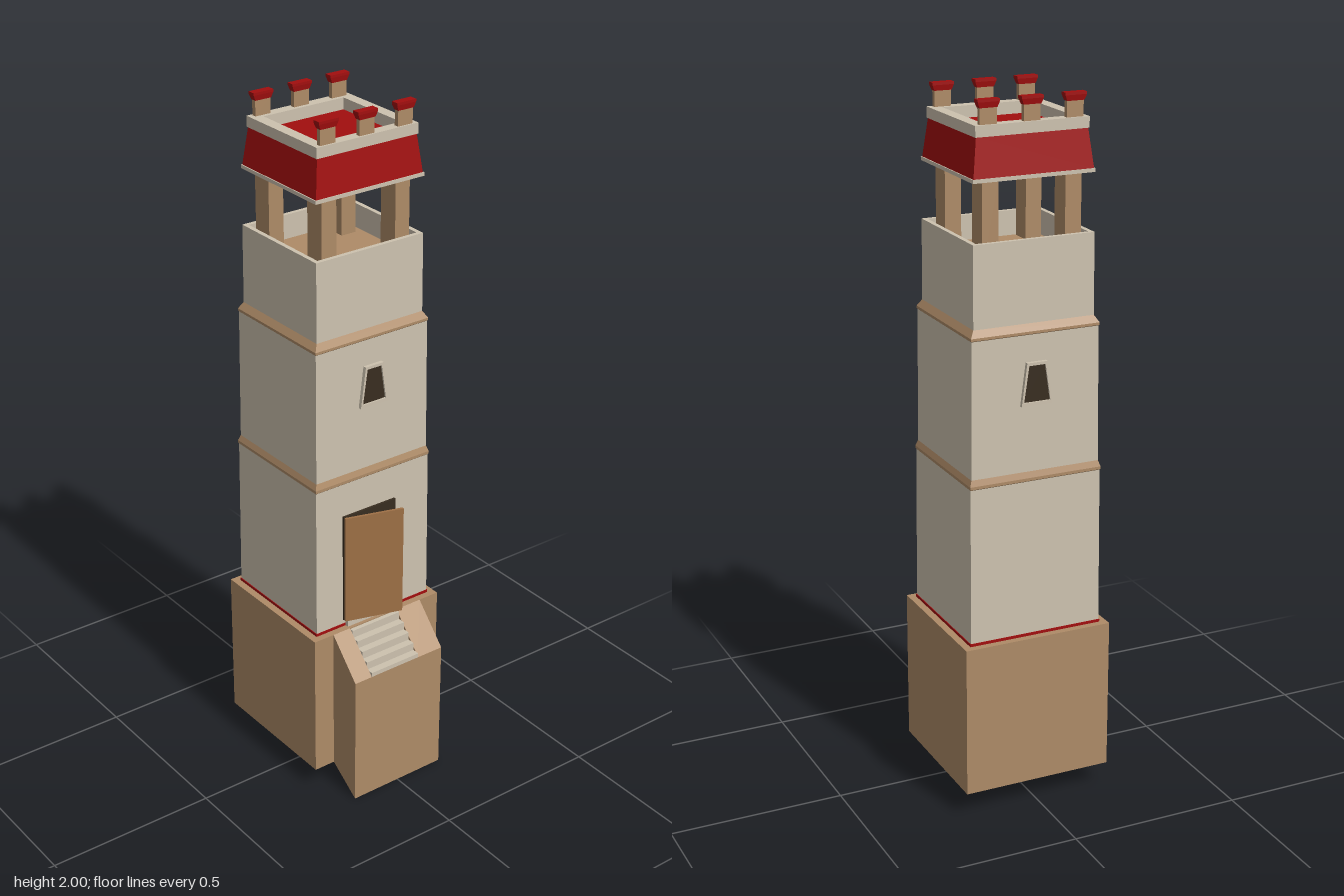
import * as THREE from 'three';

const CZ = -0.053; // tower axis in z
const DEPTH = 0.955; // depth of the tower relative to its width

const mat = (name, color) => {
  const m = new THREE.MeshStandardMaterial({ color, side: THREE.DoubleSide });
  m.name = name;
  return m;
};

export function createModel() {
  const model = new THREE.Group();
  model.name = 'watchtower';
  const plaster = mat('plaster', 0xcdc2af);
  const stone = mat('tan stone', 0xae8b67);
  const red = mat('red tiles', 0xa20e0e);
  const wood = mat('door wood', 0x9e7046);
  const dark = mat('dark opening', 0x382d20);

  const add = (name, geo, material, x = 0, y = 0, z = 0, parent = model) => {
    const mesh = new THREE.Mesh(geo, material);
    mesh.name = name;
    mesh.position.set(x, y, z);
    parent.add(mesh);
    return mesh;
  };
  const box = (name, w, h, d, material, x, y, z, parent) =>
    add(name, new THREE.BoxGeometry(w, h, d), material, x, y, z, parent);

  // Rectangular shell from a profile of [half width, height]
  const shell = (name, profile, material, depth = DEPTH, x = 0, z = CZ) => {
    const pts = profile.map(([r, y]) => new THREE.Vector2(r * Math.SQRT2, y));
    const geo = new THREE.LatheGeometry(pts, 4, Math.PI / 4).toNonIndexed();
    geo.scale(1, 1, depth);
    geo.computeVertexNormals();
    return add(name, geo, material, x, 0, z);
  };

  // Side profile of [z, y] points, extruded from x0 to x1
  const sideExtrude = (name, pts, x0, x1, material) => {
    const shape = new THREE.Shape(pts.map(([z, y]) => new THREE.Vector2(-z, y)));
    const geo = new THREE.ExtrudeGeometry(shape, { depth: x1 - x0, bevelEnabled: false });
    geo.rotateY(Math.PI / 2);
    return add(name, geo, material, x0);
  };

  // Base, open underneath
  shell('base', [[0.22, 0.07], [0.22, 0.51], [0, 0.51]], stone);
  shell('baseTrim', [[0.199, 0.51], [0.199, 0.518], [0.19, 0.518]], red);

  // Three storeys with sloped bands between them
  shell('lowerStorey', [[0.197, 0.51], [0.194, 0.965]], plaster);
  shell('lowerBand', [[0.194, 0.965], [0.196, 0.967], [0.196, 0.975], [0.189, 0.995]], stone);
  shell('middleStorey', [[0.19, 0.99], [0.187, 1.375]], plaster);
  shell('upperBand', [[0.187, 1.375], [0.189, 1.377], [0.189, 1.384], [0.176, 1.405]], stone);
  shell('upperStorey', [[0.177, 1.4], [0.176, 1.63], [0.163, 1.63], [0.163, 1.55]], plaster);
  shell('lookoutFloor', [[0.165, 1.56], [0, 1.56]], stone);

  // Lookout pillars
  for (const sx of [-1, 1]) for (const sz of [-1, 1]) {
    box('pillar', 0.047, 0.24, 0.062, stone, sx * 0.12 - 0.003, 1.675, -0.05 + sz * 0.118);
  }

  // Roof: underside and eave, flared red skirt, rim and sunken deck
  shell('eave', [[0, 1.79], [0.176, 1.79], [0.176, 1.8], [0.17, 1.8]], plaster);
  shell('roofSkirt', [[0.173, 1.8], [0.16, 1.907]], red);
  shell('roofRim', [[0.157, 1.905], [0.163, 1.905], [0.163, 1.935], [0.13, 1.935], [0.13, 1.9]], plaster);
  shell('roofDeck', [[0.132, 1.902], [0, 1.902]], red);

  // Roof posts with flared caps
  for (const z of [-0.1955, 0.0905]) for (const x of [-0.124, 0, 0.124]) {
    box('roofPost', 0.048, 0.045, 0.014, stone, x, 1.957, z);
    shell('postCap', [[0, 1.978], [0.025, 1.978], [0.031, 1.993], [0.031, 2], [0, 2]], red, 0.37, x, z);
  }

  // Tapered windows on front and back
  const trapezoid = (b, t, y0, y1) => new THREE.Shape([
    new THREE.Vector2(-b, y0), new THREE.Vector2(b, y0),
    new THREE.Vector2(t, y1), new THREE.Vector2(-t, y1),
  ]);
  for (const s of [-1, 1]) {
    const win = new THREE.Group();
    win.name = s > 0 ? 'frontWindow' : 'backWindow';
    win.position.z = CZ + s * 0.177;
    if (s < 0) win.rotation.y = Math.PI;
    model.add(win);
    const frame = trapezoid(0.046, 0.03, 1.18, 1.3);
    frame.holes.push(trapezoid(0.039, 0.024, 1.19, 1.292));
    add('windowFrame', new THREE.ExtrudeGeometry(frame, { depth: 0.013, bevelEnabled: false }),
      plaster, 0, 0, 0, win);
    add('windowPane', new THREE.ExtrudeGeometry(trapezoid(0.04, 0.025, 1.189, 1.293),
      { depth: 0.008, bevelEnabled: false }), dark, 0, 0, 0, win);
  }

  // Doorway with the leaf standing ajar
  box('doorway', 0.18, 0.335, 0.008, dark, -0.015, 0.698, 0.136);
  const hinge = new THREE.Group();
  hinge.name = 'door';
  hinge.position.set(-0.105, 0.698, 0.145);
  hinge.rotation.y = -0.287;
  model.add(hinge);
  box('doorLeaf', 0.172, 0.333, 0.008, wood, 0.086, 0, 0, hinge);

  // Stair block with sloped cheeks
  sideExtrude('stairBlock', [[0.26, 0], [0.26, 0.4], [0.15, 0.4], [0.15, 0.075]], -0.155, 0.155, stone);
  for (const [x0, x1] of [[-0.155, -0.097], [0.07, 0.155]]) {
    sideExtrude('stairCheek', [[0.26, 0.4], [0.157, 0.51], [0.157, 0.4]], x0, x1, stone);
  }
  for (let i = 0; i < 6; i++) {
    const front = 0.26 - i * 0.0225, top = 0.413 + i * 0.0235;
    box('step', 0.167, top - 0.4, front - 0.13, plaster, -0.0135, (top + 0.4) / 2, (front + 0.13) / 2);
  }

  return model;
}
